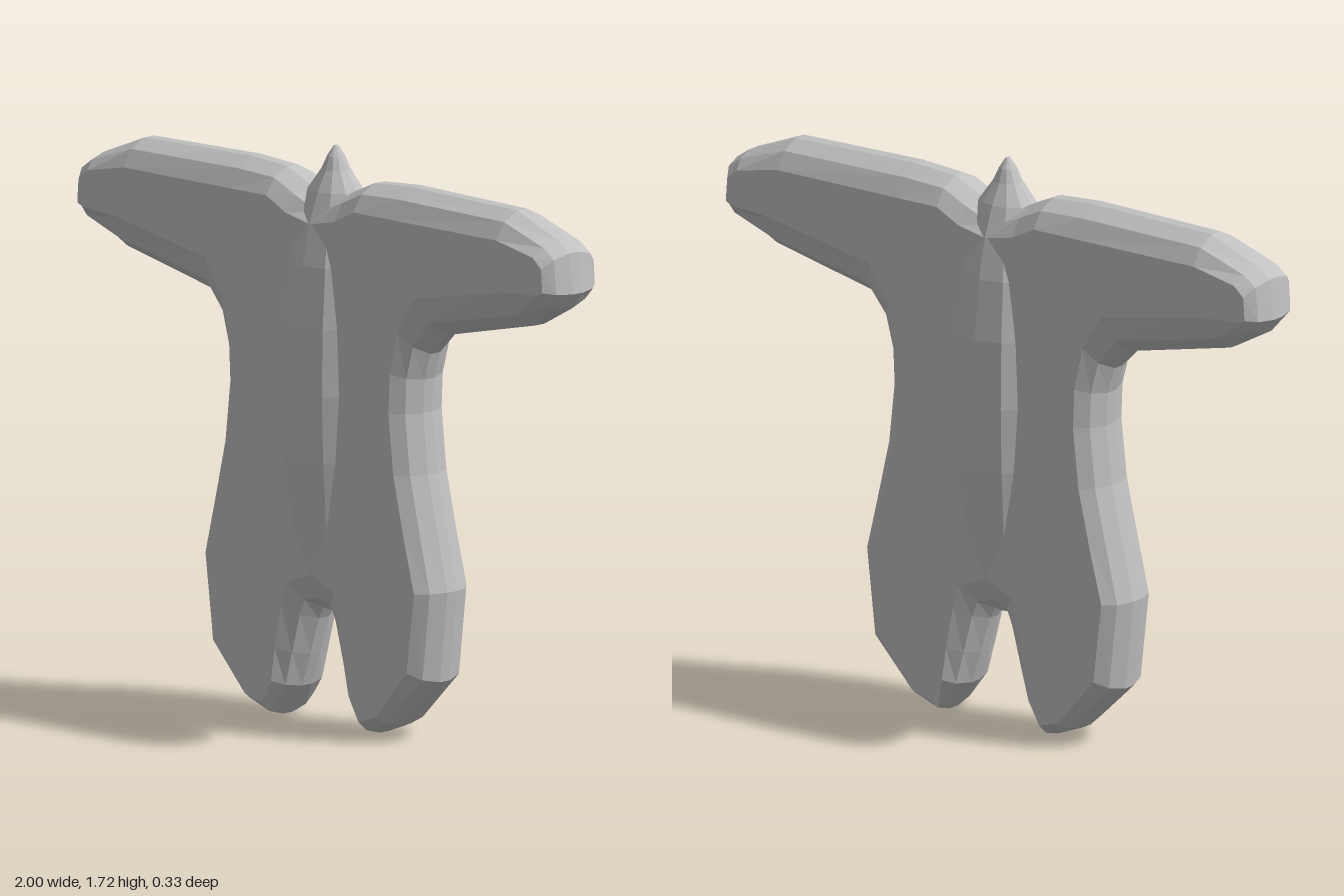
import * as THREE from 'three';

// Wing half, clockwise from the neck: outer edge x, y, then matching flat-face x, y
const WING = [
  [0, 1.55, 0, 1.5], [0.1, 1.6, 0.1, 1.52], [0.18, 1.635, 0.18, 1.56], [0.33, 1.645, 0.33, 1.56],
  [0.77, 1.637, 0.77, 1.56], [0.94, 1.57, 0.92, 1.53], [0.985, 1.54, 0.955, 1.5],
  [1.0, 1.42, 0.96, 1.43], [0.96, 1.37, 0.94, 1.42], [0.84, 1.305, 0.8, 1.41],
  [0.475, 1.225, 0.43, 1.34], [0.41, 1.16, 0.36, 1.23], [0.385, 1.08, 0.33, 1.1],
  [0.38, 0.98, 0.325, 0.98], [0.4, 0.8, 0.345, 0.8], [0.44, 0.63, 0.385, 0.63],
  [0.48, 0.46, 0.43, 0.46], [0.45, 0.19, 0.4, 0.22], [0.29, 0.04, 0.27, 0.07],
  [0.2, 0.005, 0.2, 0.05], [0.12, 0.1, 0.16, 0.12], [0.085, 0.2, 0.145, 0.22],
  [0.05, 0.31, 0.12, 0.35], [0.03, 0.345, 0.1, 0.42], [0, 0.35, 0, 0.46],
];

// Edge profile from front face to back face: inset fraction, z
const EDGE = [[1, 0.108], [0.35, 0.075], [0, 0.02], [0, -0.02], [0.35, -0.075], [1, -0.108]];

// Body sections: y, half width, half depth
const BODY = [
  [0.345, 0.045, 0.03], [0.4, 0.08, 0.085], [0.47, 0.11, 0.11], [0.62, 0.14, 0.128],
  [0.8, 0.16, 0.153], [1.0, 0.17, 0.165], [1.2, 0.165, 0.158], [1.38, 0.15, 0.138],
  [1.5, 0.12, 0.11], [1.59, 0.09, 0.075], [1.65, 0.045, 0.042], [1.69, 0.025, 0.028],
  [1.72, 0.006, 0.008],
];

// Flat-shaded geometry from points and triangle indices
function faceted(points, index) {
  const g = new THREE.BufferGeometry().setFromPoints(points);
  g.setIndex(index);
  const flat = g.toNonIndexed();
  flat.computeVertexNormals();
  return flat;
}

// Joins consecutive rings of n points with quads
function joinRings(index, rings, n) {
  for (let k = 0; k < rings - 1; k++) {
    for (let i = 0; i < n; i++) {
      const j = (i + 1) % n;
      const a = k * n + i, b = k * n + j;
      index.push(a, a + n, b, b, a + n, b + n);
    }
  }
}

function wingGeometry(side) {
  const outline = side > 0 ? [...WING].reverse() : WING;
  const n = outline.length, points = [], index = [];
  for (const [t, z] of EDGE) {
    for (const [x, y, ix, iy] of outline) {
      points.push(new THREE.Vector3(side * (x + (ix - x) * t), y + (iy - y) * t, z));
    }
  }
  joinRings(index, EDGE.length, n);
  // Flat front and back faces
  const contour = points.slice(0, n).map((p) => new THREE.Vector2(p.x, p.y));
  const last = (EDGE.length - 1) * n;
  for (const [a, b, c] of THREE.ShapeUtils.triangulateShape(contour, [])) {
    index.push(a, b, c, last + a, last + c, last + b);
  }
  return faceted(points, index);
}

function bodyGeometry() {
  const n = 12, points = [], index = [];
  for (const [y, rx, rz] of [...BODY].reverse()) {
    for (let i = 0; i < n; i++) {
      const a = (i / n) * Math.PI * 2;
      points.push(new THREE.Vector3(Math.sin(a) * rx, y, Math.cos(a) * rz));
    }
  }
  joinRings(index, BODY.length, n);
  // Close the head tip and the tail
  const last = (BODY.length - 1) * n;
  for (let i = 1; i < n - 1; i++) {
    index.push(0, i, i + 1, last, last + i + 1, last + i);
  }
  return faceted(points, index);
}

export function createModel() {
  const model = new THREE.Group();
  model.name = 'butterfly';
  const grey = new THREE.MeshStandardMaterial({ color: 0xc0c0c0, flatShading: true });
  grey.name = 'light grey';

  const add = (name, geometry) => {
    const mesh = new THREE.Mesh(geometry, grey);
    mesh.name = name;
    model.add(mesh);
  };
  add('leftWing', wingGeometry(1));
  add('rightWing', wingGeometry(-1));
  add('body', bodyGeometry());
  return model;
}
